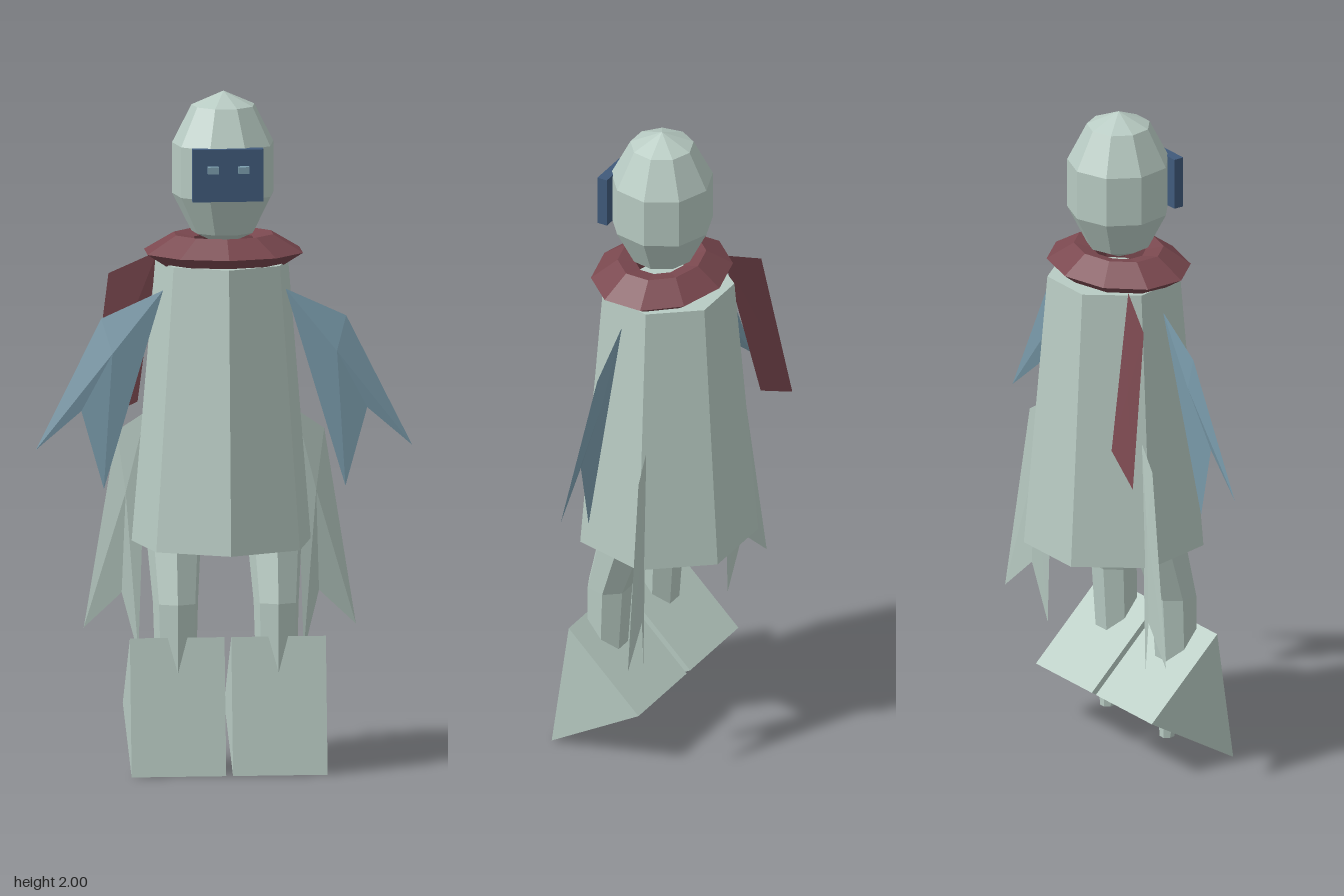
import * as THREE from 'three';

const mat = (name, color, side = THREE.FrontSide) =>
  new THREE.MeshStandardMaterial({ name, color, flatShading: true, side });

// Low-poly tube through rings of [y, centreZ, radius], top to bottom, one corner facing front
function loft(rings, sides) {
  const n = rings.length - 1;
  const g = new THREE.CylinderGeometry(1, 1, n, sides, n);
  const p = g.attributes.position;
  for (let i = 0; i < p.count; i++) {
    const [y, cz, r] = rings[Math.round(n / 2 - p.getY(i))];
    p.setXYZ(i, p.getX(i) * r, y, p.getZ(i) * r + cz);
  }
  g.computeVertexNormals();
  return g;
}

// Thin blade: a rim of points with a slightly raised centre on each face
function blade(rim, [cx, cy, cz], thick, side) {
  const v = [];
  const add = (...pts) => {
    if (side < 0) pts.reverse();
    pts.forEach(([x, y, z]) => v.push(x * side, y, z));
  };
  rim.forEach((a, i) => {
    const b = rim[(i + 1) % rim.length];
    add([cx, cy, cz + thick], b, a);
    add([cx, cy, cz - thick], a, b);
  });
  const g = new THREE.BufferGeometry();
  g.setAttribute('position', new THREE.Float32BufferAttribute(v, 3));
  g.computeVertexNormals();
  return g;
}

export function createModel() {
  const model = new THREE.Group();
  model.name = 'cloakedFigure';
  const pale = mat('paleGreen', 0xb8cbc3);
  const paleThin = mat('paleGreen', 0xb8cbc3, THREE.DoubleSide);
  paleThin.name = 'paleGreenThin';
  const blue = mat('steelBlue', 0x7c9eae, THREE.DoubleSide);
  const navy = mat('navyBlue', 0x405a7b);
  const red = mat('darkRed', 0x7a484f, THREE.DoubleSide);

  const add = (name, geometry, material, x = 0, y = 0, z = 0) => {
    const m = new THREE.Mesh(geometry, material);
    m.name = name;
    m.position.set(x, y, z);
    model.add(m);
    return m;
  };
  const profile = (pts, sides, start) =>
    new THREE.LatheGeometry(pts.map(([x, y]) => new THREE.Vector2(x, y)), sides, start);

  // Robe
  add('robe', loft([[1.495, -0.015, 0.2], [0.658, -0.015, 0.27]], 7), pale);

  // Head, with a flat side to the front
  add('head', profile([[0, 1.54], [0.094, 1.584], [0.151, 1.695], [0.151, 1.845], [0.094, 1.958], [0, 2]], 9, Math.PI), pale);

  // Visor and eyes
  add('visor', new THREE.BoxGeometry(0.208, 0.155, 0.032), navy, 0, 1.772, 0.142);
  for (const s of [-1, 1])
    add(s > 0 ? 'leftEye' : 'rightEye', new THREE.BoxGeometry(0.032, 0.02, 0.022), blue, s * 0.045, 1.79, 0.167);

  // Scarf ring and hanging end
  add('scarf', profile([[0.1, 1.5], [0.18, 1.487], [0.24, 1.525], [0.15, 1.578], [0.09, 1.565], [0.1, 1.5]], 10, 0), red)
    .scale.z = 0.815;
  add('scarfEnd', blade(
    [[0.185, 1.51, -0.1], [0.325, 1.44, -0.146], [0.375, 0.98, -0.222], [0.235, 1.05, -0.197]],
    [0.28, 1.245, -0.166], 0.004, -1), red);

  // Triangular foot section in the z-y plane, extruded sideways
  const footShape = new THREE.Shape([[0.147, 0.403], [-0.09, 0.175], [0.205, 0]].map(([z, y]) => new THREE.Vector2(z, y)));
  const footGeo = new THREE.ExtrudeGeometry(footShape, { depth: 0.278, bevelEnabled: false });
  footGeo.translate(0, 0, -0.139).rotateY(-Math.PI / 2);

  const legGeo = loft([
    [0.78, 0.01, 0.085], [0.655, 0.045, 0.08], [0.5, 0.092, 0.068],
    [0.3, 0.1, 0.062], [0.055, 0.067, 0.022],
  ], 7);

  for (const s of [-1, 1]) {
    const label = s > 0 ? 'left' : 'right';
    add(label + 'Leg', legGeo, pale, s * 0.148);
    add(label + 'Foot', footGeo, pale, s * 0.149);

    // Forked arm
    add(label + 'Arm', blade(
      [[0.18, 1.415, 0.03], [0.36, 1.33, 0.008], [0.553, 0.945, 0.018], [0.42, 1.06, 0.028], [0.355, 0.83, 0.04]],
      [0.33, 1.23, 0.026], 0.016, s), blue);

    // Forked coat tail
    add(label + 'CoatTail', blade(
      [[0.22, 1.04, -0.077], [0.305, 0.98, -0.1], [0.4, 0.395, -0.12], [0.29, 0.5, -0.103], [0.243, 0.32, -0.08]],
      [0.28, 0.8, -0.092], 0.01, s), paleThin);
  }
  return model;
}
